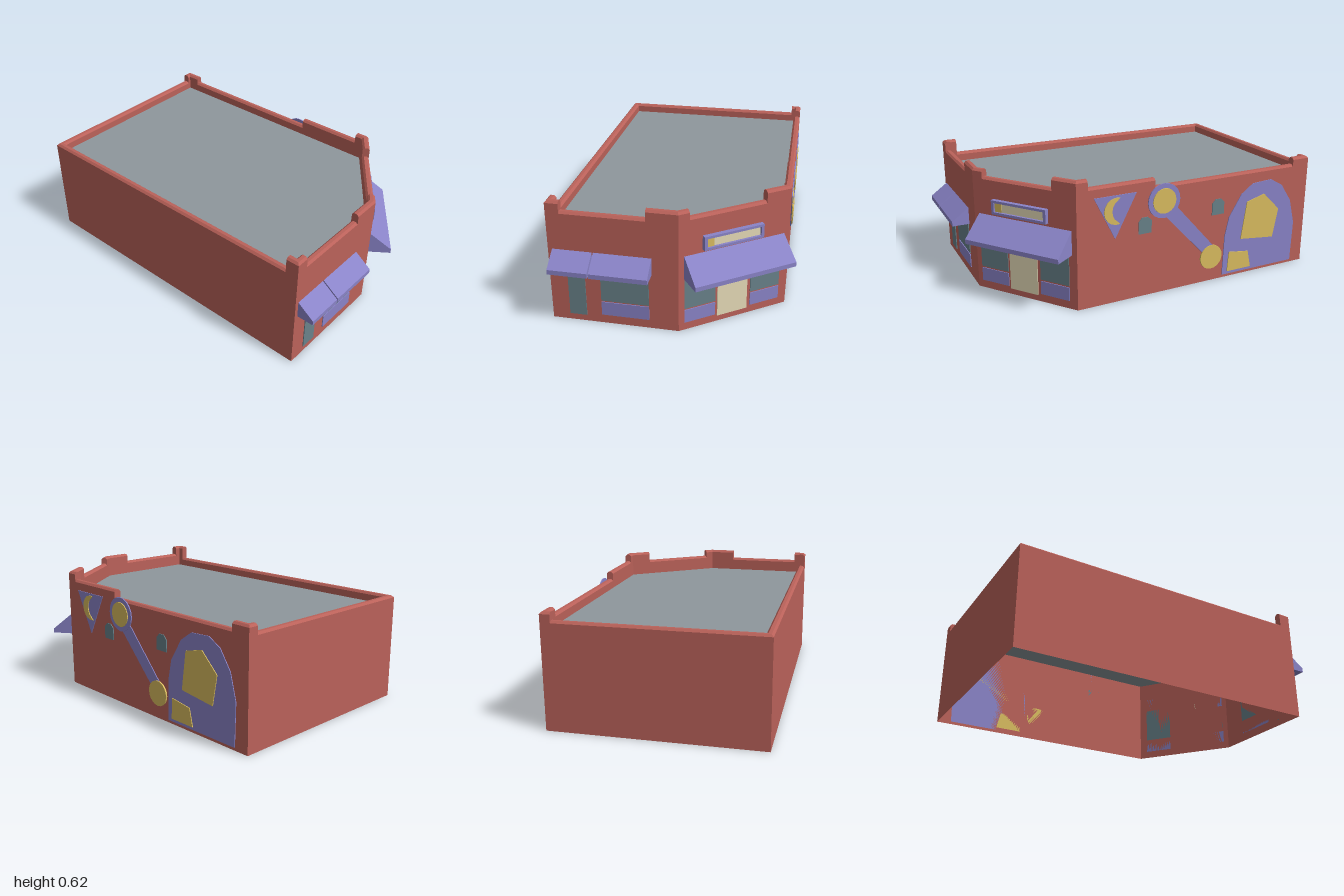
import * as THREE from 'three';

const mat = (color) => new THREE.MeshStandardMaterial({ color, flatShading: true });
const brick = mat(0xbb625a), purple = mat(0x8a84c8), gold = mat(0xdabd60);
const glass = mat(0x69828a), cream = mat(0xe6dbb8), roofGrey = mat(0x8e979c);
brick.side = roofGrey.side = THREE.DoubleSide;

// Footprint corners (x, z), clockwise from above
const V = (x, z) => new THREE.Vector2(x, z);
const corners = [V(-0.05, -1), V(0.77, 0.015), V(0.615, 0.56), V(0.14, 0.93), V(-0.88, -0.345)];
const [A, B, C, D] = corners;
const ROOF = 0.49, THICK = 0.036, BEVEL = 0.01;

// Wall top heights along each side: [start fraction, height]
const tops = [
  [[0, 0.575], [0.074, 0.54], [0.694, 0.58], [0.956, 0.62]],
  [[0, 0.62], [0.224, 0.57], [0.903, 0.605]],
  [[0, 0.605], [0.242, 0.56], [0.895, 0.607]],
  [[0, 0.607], [0.04, 0.535]],
  [[0, 0.535], [0.952, 0.575]],
];

const inward = (i) => {
  const d = corners[(i + 1) % 5].clone().sub(corners[i % 5]).normalize();
  return V(-d.y, d.x);
};

// Stepped parapet walls: a bevelled profile swept round the footprint
function wallGeometry() {
  const sections = [];
  const add = (p, n, h) => sections.push([
    [0, 0], [0, h - BEVEL], [BEVEL, h], [THICK - BEVEL, h], [THICK, h - BEVEL], [THICK, ROOF],
  ].map(([o, y]) => [p.x + n.x * o, y, p.y + n.y * o]));
  tops.forEach((steps, i) => {
    const n = inward(i), before = inward(i + 4);
    const mitre = n.clone().add(before).divideScalar(1 + n.dot(before));
    steps.forEach(([t, h], k) => {
      if (k === 0) return add(corners[i], mitre, h);
      const p = corners[i].clone().lerp(corners[(i + 1) % 5], t);
      add(p, n, steps[k - 1][1]);
      add(p, n, h);
    });
  });
  sections.push(sections[0]);
  const pos = [];
  for (let i = 0; i < sections.length - 1; i++) {
    for (let j = 0; j < 5; j++) {
      const a = sections[i][j], b = sections[i][j + 1];
      const c = sections[i + 1][j + 1], d = sections[i + 1][j];
      pos.push(...a, ...b, ...c, ...a, ...c, ...d);
    }
  }
  const g = new THREE.BufferGeometry();
  g.setAttribute('position', new THREE.Float32BufferAttribute(pos, 3));
  g.computeVertexNormals();
  return g;
}

function addMesh(parent, name, geometry, material) {
  const m = new THREE.Mesh(geometry, material);
  m.name = name;
  parent.add(m);
  return m;
}

// Group lying on a wall: x runs from p to q, y up, z outward
function wallFrame(root, name, p, q) {
  const g = new THREE.Group();
  g.name = name;
  g.position.set(p.x, 0, p.y);
  g.rotation.y = -Math.atan2(q.y - p.y, q.x - p.x);
  root.add(g);
  return g;
}

// Thin plate cut from a list of [x, y] points
function plate(parent, name, points, material, depth = 0.004) {
  const shape = new THREE.Shape(points.map(([x, y]) => V(x, y)));
  return addMesh(parent, name, new THREE.ExtrudeGeometry(shape, { depth, bevelEnabled: false }), material);
}
const rect = (x0, x1, y0, y1) => [[x0, y0], [x1, y0], [x1, y1], [x0, y1]];
const circle = (x, y, r, n = 20) => Array.from({ length: n }, (_, i) => {
  const a = (i / n) * Math.PI * 2;
  return [x + r * Math.cos(a), y + r * Math.sin(a)];
});

// Wedge awning with a short front valance
function awning(parent, x0, x1, depth, top, front, bottom) {
  const shape = new THREE.Shape([V(0, bottom), V(depth, bottom), V(depth, front), V(0, top)]);
  const g = new THREE.ExtrudeGeometry(shape, { depth: x1 - x0, bevelEnabled: false });
  g.rotateY(-Math.PI / 2);
  // After the turn, depth points along -x and the profile along +z
  g.translate(x1, 0, 0);
  addMesh(parent, 'awning', g, purple);
}

export function createModel() {
  const root = new THREE.Group();
  root.name = 'cornerShop';

  addMesh(root, 'walls', wallGeometry(), brick);

  const roof = new THREE.ShapeGeometry(new THREE.Shape(corners.map((c) => V(c.x, -c.y))));
  roof.rotateX(-Math.PI / 2);
  roof.translate(0, ROOF, 0);
  addMesh(root, 'roof', roof, roofGrey);

  // Side shop front
  const side = wallFrame(root, 'sideShopFront', D, C);
  plate(side, 'sideDoor', rect(0.085, 0.167, 0.033, 0.3), glass);
  plate(side, 'window', rect(0.24, 0.465, 0.122, 0.3), glass);
  plate(side, 'windowPanel', rect(0.24, 0.465, 0.045, 0.115), purple);
  awning(side, 0.02, 0.206, 0.085, 0.37, 0.308, 0.285);
  awning(side, 0.212, 0.48, 0.085, 0.37, 0.308, 0.285);

  // Corner entrance
  const entry = wallFrame(root, 'entrance', C, B);
  plate(entry, 'door', rect(0.195, 0.351, 0.03, 0.31), cream);
  for (const x of [0.028, 0.368]) {
    plate(entry, 'window', rect(x, x + 0.156, 0.115, 0.31), glass);
    plate(entry, 'windowPanel', rect(x, x + 0.156, 0.04, 0.107), purple);
  }
  awning(entry, 0.027, 0.54, 0.115, 0.387, 0.292, 0.27);

  // Framed sign board over the entrance
  const frame = new THREE.Shape(rect(0.117, 0.418, 0.403, 0.472).map(([x, y]) => V(x, y)));
  frame.holes.push(new THREE.Path(rect(0.131, 0.404, 0.415, 0.46).map(([x, y]) => V(x, y))));
  addMesh(entry, 'signFrame', new THREE.ExtrudeGeometry(frame, { depth: 0.022, bevelEnabled: false }), purple);
  plate(entry, 'signBoard', rect(0.131, 0.404, 0.415, 0.46), cream, 0.01);
  plate(entry, 'signAccent', rect(0.131, 0.168, 0.415, 0.46), gold, 0.013);

  // Painted shapes on the long wall
  const mural = wallFrame(root, 'mural', B, A);
  plate(mural, 'triangle', [[0.085, 0.53], [0.19, 0.32], [0.3, 0.53]], purple);
  const moon = [];
  for (let i = 0; i <= 10; i++) {
    const a = Math.PI * (0.42 + (1.16 * i) / 10);
    moon.push([0.198 + 0.065 * Math.cos(a), 0.455 + 0.065 * Math.sin(a)]);
  }
  for (let i = 1; i < 8; i++) {
    const a = Math.PI * (1.5 - i / 8);
    moon.push([0.214 + 0.04 * Math.cos(a), 0.455 + 0.052 * Math.sin(a)]);
  }
  plate(mural, 'crescent', moon, gold, 0.008);
  for (const [x, y] of [[0.312, 0.32], [0.72, 0.347]]) {
    plate(mural, 'smallWindow', [[x, y], [x + 0.069, y], [x + 0.069, y + 0.06],
      [x + 0.05, y + 0.08], [x + 0.019, y + 0.08], [x, y + 0.06]], glass);
  }
  plate(mural, 'bar', [[0.457, 0.386], [0.671, 0.16], [0.733, 0.188], [0.519, 0.424]], purple);
  plate(mural, 'upperDisc', circle(0.447, 0.466, 0.086), purple, 0.006);
  plate(mural, 'upperDiscCentre', circle(0.447, 0.466, 0.062), gold, 0.01);
  plate(mural, 'lowerDisc', circle(0.7225, 0.129, 0.063), gold, 0.008);
  plate(mural, 'arch', [[0.795, 0.015], [1.23, 0.015], [1.236, 0.225], [1.202, 0.354], [1.14, 0.445],
    [1.071, 0.483], [0.96, 0.477], [0.892, 0.43], [0.823, 0.32], [0.802, 0.225]], purple);
  plate(mural, 'archPentagon', [[0.898, 0.193], [1.098, 0.17], [1.126, 0.32], [1.03, 0.413], [0.926, 0.386]], gold, 0.008);
  plate(mural, 'archPatch', [[0.823, 0.03], [0.967, 0.03], [0.947, 0.118], [0.83, 0.134]], gold, 0.008);

  return root;
}
